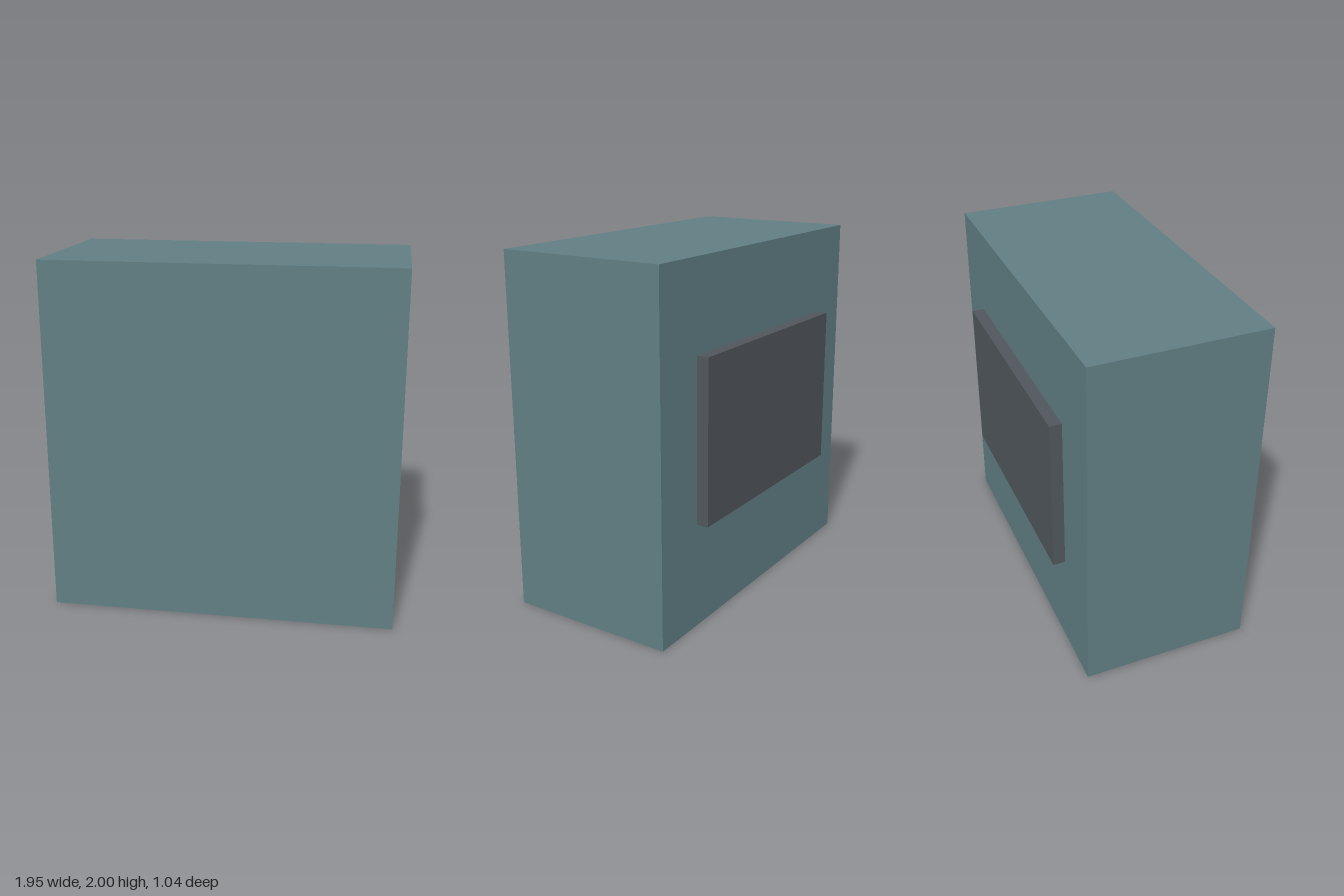
import * as THREE from 'three';

// Box given by its extents along each axis
function slab(name, color, [x0, x1], [y0, y1], [z0, z1]) {
  const mesh = new THREE.Mesh(
    new THREE.BoxGeometry(x1 - x0, y1 - y0, z1 - z0),
    new THREE.MeshStandardMaterial({ color })
  );
  mesh.position.set((x0 + x1) / 2, (y0 + y1) / 2, (z0 + z1) / 2);
  mesh.name = name;
  return mesh;
}

export function createModel() {
  const group = new THREE.Group();
  group.name = 'cabinet';
  // Main block
  group.add(slab('body', 0x607e83, [-0.973, 0.973], [0, 2], [-0.444, 0.52]));
  // Thin plate floating just behind the back face
  group.add(slab('backPanel', 0x50565c, [-0.665, 0.665], [0.6, 1.51], [-0.52, -0.452]));
  return group;
}
